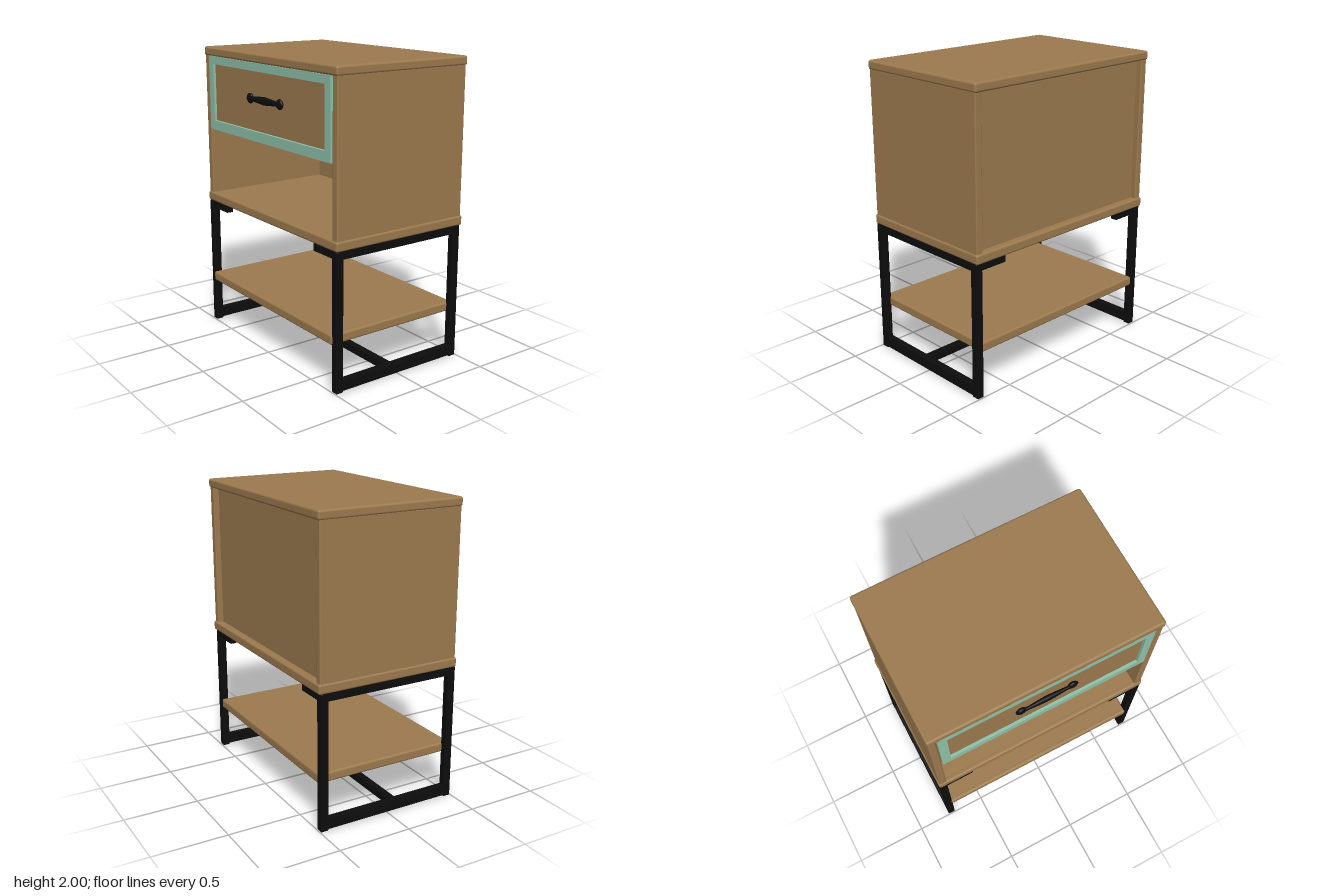
import * as THREE from 'three';
import { RoundedBoxGeometry } from 'three/addons/geometries/RoundedBoxGeometry.js';

const material = (name, color) => {
  const m = new THREE.MeshStandardMaterial({ color });
  m.name = name;
  return m;
};

export function createModel() {
  const wood = material('wood', 0x9c7a4e);
  const mint = material('mint paint', 0x8fc2aa);
  const black = material('black metal', 0x0d0d0e);
  const model = new THREE.Group();
  model.name = 'bedsideCabinet';

  const group = (name) => {
    const g = new THREE.Group();
    g.name = name;
    model.add(g);
    return g;
  };
  const add = (parent, name, geometry, mat) => {
    const mesh = new THREE.Mesh(geometry, mat);
    mesh.name = name;
    parent.add(mesh);
    return mesh;
  };
  // Box given by its limits on each axis, with optional rounded edges
  const box = (parent, name, mat, [x0, x1], [y0, y1], [z0, z1], r = 0) => {
    const size = [x1 - x0, y1 - y0, z1 - z0];
    const geo = r ? new RoundedBoxGeometry(...size, 3, r) : new THREE.BoxGeometry(...size);
    const mesh = add(parent, name, geo, mat);
    mesh.position.set((x0 + x1) / 2, (y0 + y1) / 2, (z0 + z1) / 2);
    return mesh;
  };
  const span = (s, a, b) => (s > 0 ? [a, b] : [-b, -a]);

  // Board with a rounded rim, hollow underneath
  const tray = (parent, name, w, [y0, y1], [z0, z1], rim) => {
    const r = 0.014;
    box(parent, name + 'Panel', wood, [-w + 0.01, w - 0.01], [y1 - 0.03, y1 - 0.001], [z0 + 0.01, z1 - 0.01]);
    for (const s of [-1, 1]) box(parent, name + 'SideRim', wood, span(s, w - rim, w), [y0, y1], [z0, z1], r);
    box(parent, name + 'FrontRim', wood, [-w, w], [y0, y1], [z1 - rim, z1], r);
    box(parent, name + 'BackRim', wood, [-w, w], [y0, y1], [z0, z0 + rim], r);
  };

  // Cabinet shell, open below the drawer
  const cabinet = group('cabinet');
  box(cabinet, 'topBoard', wood, [-0.77, 0.77], [1.94, 2], [-0.51, 0.5], 0.015);
  tray(cabinet, 'bottomBoard', 0.773, [0.91, 0.975], [-0.51, 0.5], 0.04);
  for (const s of [-1, 1])
    box(cabinet, 'sideBoard', wood, span(s, 0.715, 0.765), [0.95, 1.97], [-0.5, 0.492], 0.008);
  box(cabinet, 'backPanel', wood, [-0.73, 0.73], [0.95, 1.96], [-0.46, -0.435]);

  // Drawer with a painted raised frame
  const drawer = group('drawer');
  box(drawer, 'drawerBox', wood, [-0.71, 0.71], [1.437, 1.945], [-0.435, 0.48]);
  const rect = (path, x, y0, y1) =>
    path.moveTo(-x, y0).lineTo(x, y0).lineTo(x, y1).lineTo(-x, y1).closePath();
  const frameShape = new THREE.Shape();
  rect(frameShape, 0.707, 1.435, 1.942);
  const opening = new THREE.Path();
  rect(opening, 0.65, 1.5, 1.888);
  frameShape.holes.push(opening);
  add(drawer, 'drawerFrame',
    new THREE.ExtrudeGeometry(frameShape, { depth: 0.022, bevelEnabled: false }), mint).position.z = 0.476;

  // Handle: a swelling grip between two rosettes
  const handle = group('handle');
  handle.position.set(0, 1.71, 0.498);
  const profile = [[0, -0.18], [0.02, -0.17], [0.016, -0.13], [0.022, -0.07], [0.027, 0],
    [0.022, 0.07], [0.016, 0.13], [0.02, 0.17], [0, 0.18]].map(([r, y]) => new THREE.Vector2(r, y));
  const grip = add(handle, 'handleGrip', new THREE.LatheGeometry(profile, 16), black);
  grip.rotation.z = -Math.PI / 2;
  grip.scale.z = 0.65;
  for (const s of [-1, 1]) {
    const rosette = add(handle, 'handleRosette', new THREE.SphereGeometry(0.034, 20, 14), black);
    rosette.position.set(s * 0.173, 0, -0.003);
    rosette.scale.z = 0.5;
    const tip = add(handle, 'handleTip', new THREE.SphereGeometry(0.018, 14, 10), black);
    tip.position.set(s * 0.192, 0, -0.003);
    tip.scale.z = 0.7;
  }

  // Metal side frames with corner brackets
  for (const s of [-1, 1]) {
    const frame = group(s > 0 ? 'leftFrame' : 'rightFrame');
    const x = span(s, 0.717, 0.767);
    for (const f of [-1, 1]) {
      box(frame, 'leg', black, x, [0, 0.91], span(f, 0.443, 0.495), 0.006);
      box(frame, 'bracket', black, span(s, 0.525, 0.74), [0.86, 0.915], span(f, 0.445, 0.493), 0.005);
    }
    box(frame, 'topRail', black, x, [0.86, 0.912], [-0.48, 0.48]);
    box(frame, 'bottomRail', black, x, [0.012, 0.078], [-0.48, 0.48]);
  }
  box(group('stretcher'), 'crossBar', black, [-0.73, 0.73], [0.027, 0.075], [0.03, 0.08]);

  // Lower shelf
  tray(group('shelf'), 'shelf', 0.725, [0.31, 0.375], [-0.49, 0.503], 0.035);

  return model;
}
